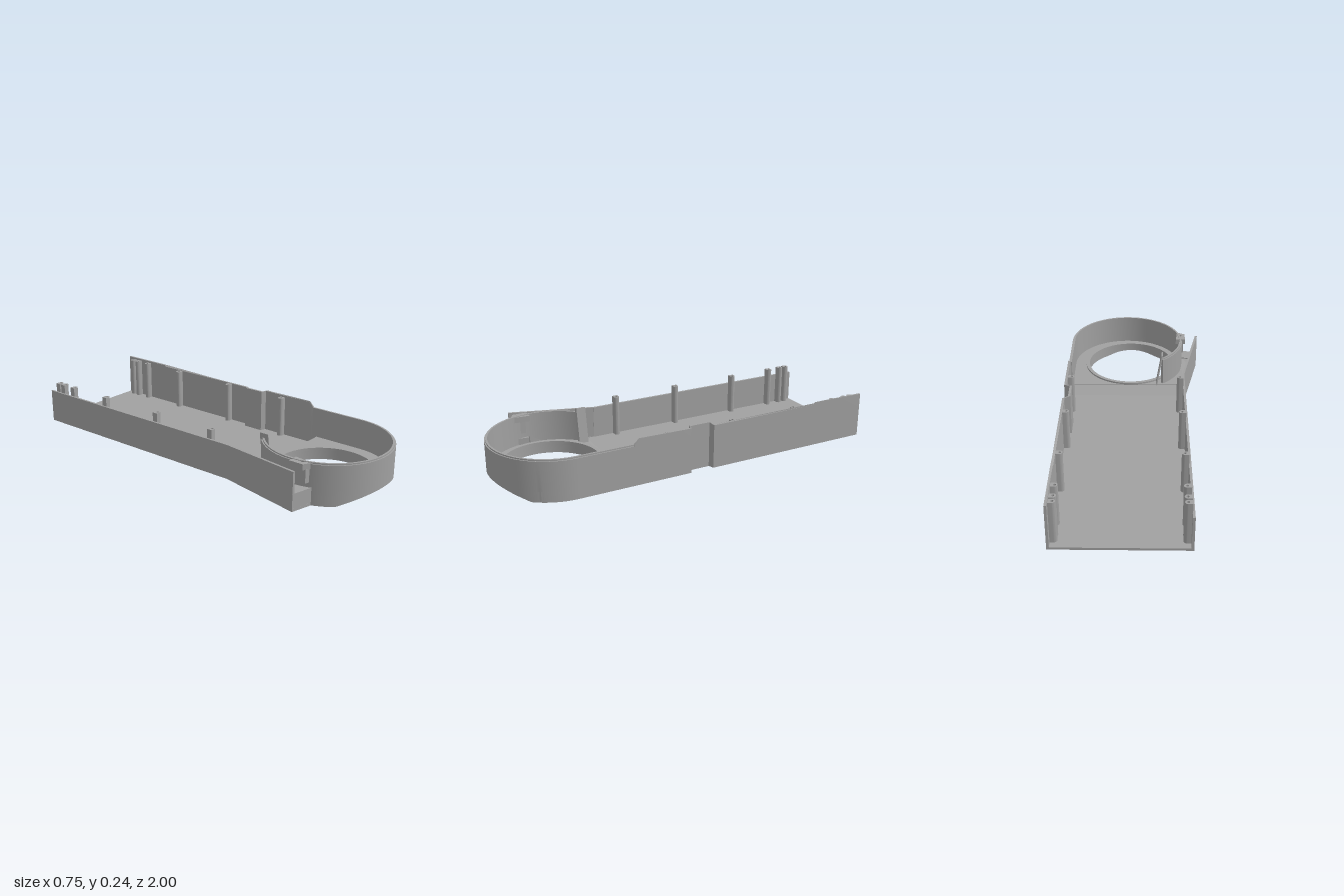
import * as THREE from 'three';
import { toCreasedNormals } from 'three/addons/utils/BufferGeometryUtils.js';

const CX = 0.045, CZ = 0.672, R = 0.327;   // round front end
const HX = 0.025, HZ = 0.675, HR = 0.248;  // opening in its floor

// underside slopes up towards the nose
const nose = (x, z) => Math.max(0, (z - 0.88) * 0.44);

// piecewise-linear height along z, from [z, y] pairs
function along(table) {
  return (x, z) => {
    if (z <= table[0][0]) return table[0][1];
    for (let i = 1; i < table.length; i++) {
      const [z0, y0] = table[i - 1], [z1, y1] = table[i];
      if (z <= z1) return y0 + (y1 - y0) * (z - z0) / (z1 - z0);
    }
    return table[table.length - 1][1];
  };
}

function arc(cx, cz, r, from, to, n = 64) {
  const pts = [];
  for (let i = 0; i <= n; i++) {
    const a = (from + (to - from) * i / n) * Math.PI / 180;
    pts.push([cx + r * Math.cos(a), cz + r * Math.sin(a)]);
  }
  return pts;
}

// plan outline [x, z] extruded upwards; bottom and top are heights or rules of (x, z)
function slab(outline, bottom, top, hole) {
  const vec = (l) => l.map(([x, z]) => new THREE.Vector2(x, z));
  const shape = new THREE.Shape(vec(outline));
  if (hole) shape.holes.push(new THREE.Path(vec(hole)));
  const g = new THREE.ExtrudeGeometry(shape, { depth: 1, bevelEnabled: false });
  g.rotateX(Math.PI / 2);
  const p = g.attributes.position;
  for (let i = 0; i < p.count; i++) {
    const f = p.getY(i) > -0.5 ? top : bottom;
    p.setY(i, typeof f === 'function' ? f(p.getX(i), p.getZ(i)) : f);
  }
  return toCreasedNormals(g, 0.5);
}

export function createModel() {
  const group = new THREE.Group();
  const grey = new THREE.MeshStandardMaterial({ color: 0xa0a0a0 });
  grey.name = 'grey plastic';
  grey.side = THREE.DoubleSide;
  const add = (name, geometry) => {
    const m = new THREE.Mesh(geometry, grey);
    m.name = name;
    group.add(m);
    return m;
  };

  // floor of the long tray, notched on the left edge
  add('trayFloor', slab([
    [-0.282, -1], [0.372, -1], [0.372, -0.065], [0.342, -0.055], [0.342, 0.055],
    [0.372, 0.065], [0.372, 0.41], [-0.282, 0.41],
  ], 0, 0.012));

  // ramp up to the raised round floor
  add('floorRamp', slab([[-0.27, 0.355], [0.362, 0.355], [0.362, 0.415], [-0.27, 0.415]],
    0.005, along([[0.355, 0.012], [0.415, 0.055]])));

  // round floor with the large opening and a stepped seat
  const opening = arc(HX, HZ, HR, 0, 354, 59);
  add('roundFloor', slab([[0.372, 0.41], ...arc(CX, CZ, R, 0, 180), [-0.282, 0.41]],
    nose, 0.055, opening));
  add('openingLip', slab(arc(HX, HZ, 0.268, 0, 354, 59), 0.05, 0.064, opening));

  // curved wall: outer skin and a slightly taller inner lip
  const band = (d) => [[0.372 - d, 0.38], ...arc(CX, CZ, R - d, 0, 230, 80)];
  add('roundWall', slab([...band(0), ...band(0.012).reverse()], nose, 0.208));
  add('roundWallLip', slab([...band(0.006), ...band(0.016).reverse()], 0.052, 0.215));

  // left wall with a recessed notch and stepped top
  const run = [[0, -1], [0, -0.7], [0, -0.69], [0, -0.065], [0.03, -0.055], [0.03, 0.055],
    [0.03, 0.056], [0, 0.065], [0, 0.35], [0, 0.38]];
  const side = (x) => run.map(([d, z]) => [x - d, z]);
  add('leftWall', slab([...side(0.372), ...side(0.36).reverse()], 0, along([
    [-1, 0.24], [-0.7, 0.24], [-0.69, 0.232], [-0.065, 0.232], [-0.055, 0.24],
    [0.35, 0.24], [0.38, 0.212],
  ])));

  // right wall, continuing into the flared plate
  add('rightWall', slab([[-0.282, -1], [-0.27, -1], [-0.27, 0.31], [-0.282, 0.31]], 0, 0.182));
  add('flaredPlate', slab([[-0.282, 0.3], [-0.27, 0.3], [-0.363, 0.757], [-0.375, 0.755]],
    0, along([[0.3, 0.182], [0.4, 0.2]])));
  add('flaredFloor', slab([[-0.282, 0.31], [-0.375, 0.755], [-0.265, 0.783], [-0.25, 0.4]],
    0, 0.014));

  // pocket beside the round wall, with a curved bed and an end block
  const bed = [];
  for (let i = 0; i <= 8; i++) bed.push([-0.302 - 0.055 * i / 8, 0.42 + 0.26 * i / 8]);
  add('pocketBed', slab([...bed, [-0.275, 0.7], ...bed.map(([, z]) => [-0.262, z]).reverse()],
    0.005, (x, z) => 0.014 + 0.076 * Math.min(1, Math.max(0, (z - 0.42) / 0.26)) ** 2));
  add('endBlock', slab([[-0.357, 0.672], [-0.375, 0.755], [-0.262, 0.783], [-0.25, 0.69]],
    0, 0.09));
  add('clipBlock', slab([[-0.29, 0.7], [-0.29, 0.765], [-0.262, 0.772], [-0.26, 0.7]],
    0.115, 0.185));
  add('screwTab', slab([[-0.3, 0.68], [-0.3, 0.755], [-0.255, 0.78], [-0.245, 0.68]],
    0.182, 0.212, arc(-0.272, 0.735, 0.009, 0, 330, 11)));

  // slanted fin closing the end of the curved wall
  const fin = slab([[-0.125, 0.41], [-0.117, 0.405], [-0.117, 0.455], [-0.125, 0.46]], 0.012, 0.24);
  fin.applyMatrix4(new THREE.Matrix4().makeShear(0, 0, -0.16, 0, 0, 0));
  fin.computeVertexNormals();
  add('slantedFin', fin);

  // screw posts along both walls: flat at the wall, rounded inwards
  for (const z of [-0.95, -0.91, -0.83, -0.57, -0.19, 0.18]) {
    for (const s of [-1, 1]) {
      const wall = s < 0 ? -0.272 : 0.362;
      const cx = wall - s * 0.021;
      const round = arc(cx, z, 0.015, 90, 270, 10).map(([x, pz]) => [cx + s * (x - cx), pz]);
      const post = slab([[wall, z + 0.015], ...round, [wall, z - 0.015]], 0.01, 0.23,
        arc(cx, z, 0.007, 0, 330, 11));
      add(s < 0 ? 'rightPost' : 'leftPost', post);
    }
  }
  return group;
}
